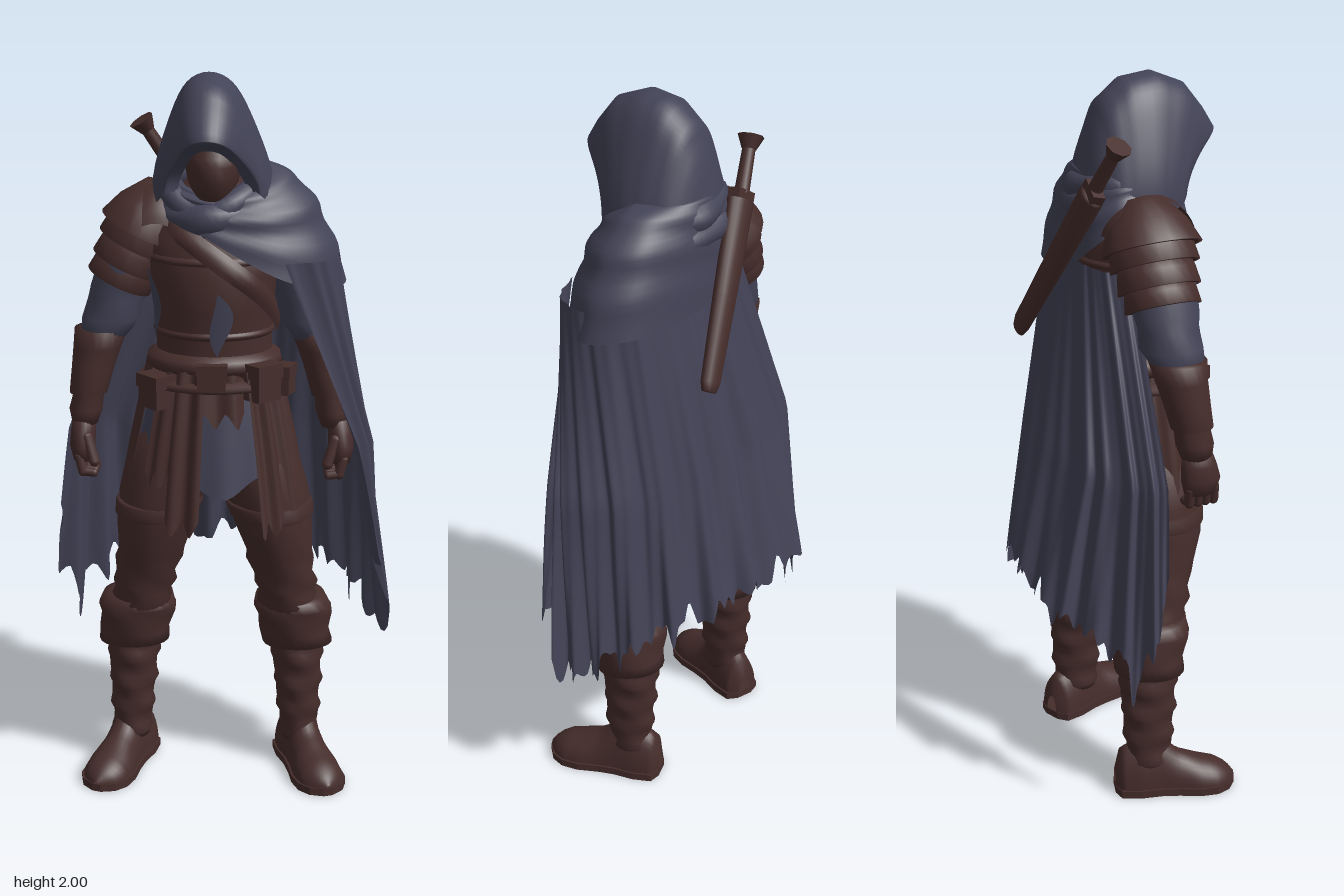
import * as THREE from 'three';
import { mergeVertices } from 'three/addons/utils/BufferGeometryUtils.js';

const cloth = new THREE.MeshStandardMaterial({ color: 0x434357, side: THREE.DoubleSide });
cloth.name = 'blueGreyCloth';
const leather = new THREE.MeshStandardMaterial({ color: 0x452d2b, side: THREE.DoubleSide });
leather.name = 'brownLeather';
const { sin, cos, PI, max, abs } = Math;
const lerp = THREE.MathUtils.lerp;
const V = (x, y, z) => new THREE.Vector3(x, y, z);

// linear lookup in rows sorted by their first value
function lookup(rows, k) {
  let i = 0;
  while (i < rows.length - 2 && k > rows[i + 1][0]) i++;
  const a = rows[i], b = rows[i + 1], t = (k - a[0]) / (b[0] - a[0]);
  return a.map((v, j) => lerp(v, b[j], t));
}
// smooth grid surface from fn(u, v) -> [x, y, z]
function surf(nu, nv, fn) {
  const pos = [], idx = [];
  for (let j = 0; j <= nv; j++) for (let i = 0; i <= nu; i++) pos.push(...fn(i / nu, j / nv));
  for (let j = 0; j < nv; j++) for (let i = 0; i < nu; i++) {
    const a = j * (nu + 1) + i, b = a + nu + 1;
    idx.push(a, a + 1, b, a + 1, b + 1, b);
  }
  let g = new THREE.BufferGeometry();
  g.setAttribute('position', new THREE.Float32BufferAttribute(pos, 3));
  g.setIndex(idx);
  g = mergeVertices(g, 1e-5);
  g.computeVertexNormals();
  return g;
}
// capped stack of ellipses: [y, centreX, centreZ, radiusX, radiusZ]
function loft(rings, seg = 24, wobble = 0) {
  const a = rings[0], b = rings[rings.length - 1];
  const rows = [[a[0], a[1], a[2], 0, 0], ...rings, [b[0], b[1], b[2], 0, 0]];
  return surf(seg, rows.length - 1, (u, v) => {
    const [y, cx, cz, rx, rz] = rows[Math.round(v * (rows.length - 1))];
    const t = (u % 1) * 2 * PI, w = 1 + wobble * sin(t * 3 + y * 60);
    return [cx + rx * sin(t) * w, y, cz + rz * cos(t) * w];
  });
}
function capsule(a, b, r) {
  const d = b.clone().sub(a), g = new THREE.CapsuleGeometry(r, d.length(), 4, 10);
  g.applyQuaternion(new THREE.Quaternion().setFromUnitVectors(V(0, 1, 0), d.normalize()));
  return g.translate((a.x + b.x) / 2, (a.y + b.y) / 2, (a.z + b.z) / 2);
}

const TORSO = [[0.92, 0, 0.06, 0.15, 0.11], [1.1, 0, 0.06, 0.18, 0.14], [1.25, 0, 0.06, 0.155, 0.135],
  [1.38, 0, 0.06, 0.16, 0.15], [1.48, 0, 0.06, 0.175, 0.16], [1.58, 0, 0.05, 0.185, 0.14],
  [1.66, 0, 0.04, 0.13, 0.1], [1.72, 0, 0.04, 0.07, 0.07]];
const SKIRT = [[0.75, 0, 0.06, 0.26, 0.2], [1.0, 0, 0.06, 0.215, 0.17], [1.25, 0, 0.06, 0.16, 0.14]];
const onBody = (rows, a, y, off) => {
  const [, cx, cz, rx, rz] = lookup(rows, y);
  return [cx + (rx + off) * sin(a), y, cz + (rz + off) * cos(a)];
};

export function createModel() {
  const model = new THREE.Group();
  const add = (name, geo, mat, parent = model) => {
    const m = new THREE.Mesh(geo, mat);
    m.name = name;
    parent.add(m);
    return m;
  };

  // hood: arches from the peaked rim to the nape [step, crownY, crownZ, halfWidth, baseY, baseZ]
  const HOOD = [[0, 1.81, 0.21, 0.09, 1.69, 0.13], [1, 1.835, 0.28, 0.112, 1.7, 0.155],
    [2, 1.845, 0.292, 0.125, 1.69, 0.16], [3, 1.9, 0.255, 0.145, 1.67, 0.14], [4, 1.965, 0.2, 0.158, 1.66, 0.1],
    [5, 2, 0.11, 0.165, 1.66, 0.06], [6, 1.99, 0.03, 0.162, 1.66, 0.01], [7, 1.94, -0.035, 0.148, 1.65, -0.04],
    [8, 1.85, -0.072, 0.12, 1.64, -0.075], [9, 1.73, -0.1, 0.06, 1.62, -0.105]];
  add('hood', surf(32, 27, (u, v) => {
    const [, cy, cz, w, by, bz] = lookup(HOOD, v * 9), t = (u - 0.5) * PI, h = max(0, cos(t));
    const x = w * sin(t) * (1 - 0.13 * sin(2 * t) ** 2);
    return [x - 0.01 * h, lerp(by, cy, h), lerp(bz, cz, h ** lerp(2.1, 0.8, v))];
  }), cloth);
  add('face', loft([[1.66, 0, 0.12, 0.025, 0.03], [1.68, 0, 0.125, 0.045, 0.06], [1.72, 0, 0.115, 0.066, 0.08],
    [1.765, 0, 0.11, 0.075, 0.1], [1.785, 0, 0.1, 0.077, 0.09], [1.84, 0, 0.09, 0.075, 0.085],
    [1.9, 0, 0.08, 0.045, 0.05]]), leather);

  // rolled scarf around the neck
  [[0.122, 1.715, 0.034, 0.075], [0.13, 1.655, 0.038, 0.04]].forEach(([r, y, tube, dip], i) =>
    add('scarfRoll', surf(48, 12, (u, v) => {
      const a = (u % 1) * 2 * PI, b = (v % 1) * 2 * PI, w = tube * (1 + 0.15 * sin(a * 5 + i * 2));
      const R = r + w * cos(b);
      return [R * sin(a), y + w * 1.1 * sin(b) - dip * max(0, cos(a)) ** 2 + 0.012 * sin(a * 2 + i), 0.038 + R * cos(a)];
    }), cloth));

  // mantle hanging over the left shoulder
  const hemLine = new THREE.CatmullRomCurve3([V(-0.14, 1.66, 0.12), V(-0.04, 1.6, 0.195), V(0.08, 1.53, 0.215),
    V(0.2, 1.47, 0.2), V(0.31, 1.44, 0.13), V(0.355, 1.445, 0.03), V(0.3, 1.46, -0.065), V(0.16, 1.47, -0.115),
    V(0, 1.5, -0.125), V(-0.11, 1.57, -0.115), V(-0.17, 1.64, -0.05), V(-0.16, 1.67, 0.05)], true);
  add('mantle', surf(72, 20, (u, v) => {
    const p = hemLine.getPoint(u % 1), a = Math.atan2(p.x - 0.01, p.z - 0.04);
    const ty = 1.76 - 0.07 * max(0, cos(a)), s = (v + sin(v * PI / 2)) / 2, k = 1 - cos(v * PI / 2);
    const f = 1 + 0.025 * sin(v * 22 + sin(a) * 3) * sin(v * PI);
    return [lerp(0.01 + 0.12 * sin(a), p.x, s) * f, lerp(ty, p.y, k), lerp(0.03 + 0.12 * cos(a), p.z, s) * f];
  }), cloth);

  // pleated cape with a torn hem, from the front left edge round the back to the right
  const line = pts => new THREE.CatmullRomCurve3(pts.map(([x, z]) => V(x, 0, z)));
  const capeTop = line([[0.19, 0.21], [0.3, 0.16], [0.335, 0.05], [0.27, -0.06], [0.11, -0.1], [-0.05, -0.11], [-0.15, -0.09], [-0.2, -0.04]]);
  const capeMid = line([[0.385, 0.145], [0.43, 0.06], [0.385, -0.06], [0.25, -0.145], [0.05, -0.19], [-0.22, -0.18], [-0.36, -0.11], [-0.42, -0.04]]);
  const capeLow = line([[0.485, 0.12], [0.455, 0.03], [0.395, -0.08], [0.27, -0.195], [0.05, -0.27], [-0.22, -0.265], [-0.38, -0.14], [-0.5, -0.065]]);
  const HEM = [[0, 0.66], [0.045, 0.66], [0.09, 0.47], [0.17, 0.46], [0.28, 0.52], [0.4, 0.6], [0.6, 0.62], [0.76, 0.58],
    [0.84, 0.52], [0.88, 0.42], [0.94, 0.56], [1, 0.74]];
  const zig = x => abs((x % 1) - 0.5) * 2;
  add('cape', surf(220, 26, (u, v) => {
    const hem = lookup(HEM, u)[1] + 0.11 * (zig(u * 15 + 0.2) - 0.5) * (0.6 + 0.4 * sin(u * 31)) + 0.04 * (zig(u * 37) - 0.5);
    const y = lerp(1.52, hem, v), up = y > 1;
    const a = (up ? capeMid : capeLow).getPoint(u), b = (up ? capeTop : capeMid).getPoint(u);
    const p = a.lerp(b, up ? (y - 1) / 0.52 : (y - 0.55) / 0.45);
    const amp = 0.002 + 0.014 * v, w = amp * (sin(u * 80 + 2 * sin(u * 9) + sin(v * 3)) + 0.4 * sin(u * 147 + 1 + v * 2));
    const r = Math.hypot(p.x, p.z) || 1;
    return [p.x + w * p.x / r, y, p.z + w * p.z / r];
  }), cloth);

  // torso, chest strap, cloth showing through the jerkin
  add('jerkin', loft(TORSO, 32), leather);
  const patch = (name, off, aFn, y0, y1) => add(name, surf(12, 10, (u, v) => {
    const y = lerp(y0, y1, v), [l, r] = aFn(v);
    return onBody(TORSO, lerp(l, r, u), y, off);
  }), cloth);
  patch('shirtGap', 0.006, v => [0.08 - 0.2 * sin(v * PI) * (1 - v), 0.1 + 0.3 * sin(v * PI) * v + 0.08 * sin(v * PI)], 1.27, 1.44);
  patch('shirtSide', 0.006, v => [-1.3, -1.3 + 0.35 * sin(v * PI)], 1.3, 1.5);
  add('chestStrap', surf(30, 4, (u, v) =>
    onBody(TORSO, lerp(-0.85, 1.5, u), lerp(1.65, 1.34, u) + (v - 0.5) * 0.065, 0.012 + 0.008 * sin(v * PI))), leather);
  for (const y of [1.32, 1.52]) add('jerkinSeam', surf(40, 4, (u, v) =>
    onBody(TORSO, (u % 1) * 2 * PI, y + (v - 0.5) * 0.02, 0.006 * sin(v * PI))), leather);

  // belts, buckle and pouches
  [[1.24, 0.055, 0.02], [1.185, 0.035, 0.03]].forEach(([y, h, off]) => add('belt', surf(48, 4, (u, v) =>
    onBody(SKIRT, (u % 1) * 2 * PI, y + (v - 0.5) * h, v === 0 || v === 1 ? 0 : off)), leather));
  for (const [name, a, y, w, h, d] of [['buckle', 0, 1.22, 0.075, 0.07, 0.03], ['pouch', 0.75, 1.2, 0.08, 0.1, 0.06],
    ['pouch', -0.85, 1.17, 0.08, 0.09, 0.055], ['smallPouch', 1.25, 1.19, 0.06, 0.08, 0.05]]) {
    const g = new THREE.Group();
    g.name = name;
    g.position.set(...onBody(SKIRT, a, y, 0.025));
    g.rotation.y = a;
    add(name + 'Body', new THREE.BoxGeometry(w, h, d), leather, g);
    add(name + 'Flap', new THREE.BoxGeometry(w * 1.1, h * 0.4, d * 1.15), leather, g).position.y = h * 0.3;
    model.add(g);
  }

  // skirt: cloth underneath, ragged leather panels over it
  add('tunicSkirt', surf(72, 8, (u, v) => onBody(SKIRT, (u % 1) * 2 * PI,
    lerp(1.22, 0.95 - 0.07 * max(0, cos(u * 2 * PI - 0.12)) ** 12, v), -0.012 + 0.005 * v * sin(u * 22 * PI))), cloth);
  [[-0.52, -0.1, 0.78, 0.02], [0.5, 0.85, 0.77, 0.02], [0.8, 1.2, 0.79, 0.012], [-0.92, -0.5, 0.9, 0.008],
    [-1.75, -1.12, 0.84, 0.012], [1.2, 1.8, 0.86, 0.008], [1.75, 3.1, 0.93, -0.03], [3.1, 4.6, 0.93, -0.03],
    [-0.15, 0.52, 1.07, 0.004]
  ].forEach(([l, r, low, off], i) => add('skirtPanel', surf(14, 10, (u, v) => {
    const y = lerp(1.23, low + 0.05 * zig(u * 2 + i * 0.37), v);
    return onBody(SKIRT, lerp(l, r, 0.5 + (u - 0.5) * (1 - 0.12 * v)), y, off + 0.008 * sin(u * 9 + i));
  }), leather));

  for (const s of [-1, 1]) {
    const side = s > 0 ? 'left' : 'right';
    const limb = (name, rows, mat, wob = 0, dx = 0) =>
      add(side + name, loft(rows.map(([y, x, z, rx, rz]) => [y, (x - dx) * s, z, rx, rz]), 24, wob), mat);

    // trousers, bunched above the knee
    limb('Trousers', [[0.46, 0.22, 0.02, 0.08, 0.08], [0.52, 0.21, 0.03, 0.09, 0.092], [0.55, 0.205, 0.035, 0.078, 0.085],
      [0.58, 0.2, 0.04, 0.09, 0.095], [0.61, 0.195, 0.045, 0.082, 0.09], [0.65, 0.185, 0.05, 0.096, 0.1],
      [0.68, 0.18, 0.055, 0.092, 0.1], [0.76, 0.165, 0.065, 0.108, 0.12], [0.86, 0.145, 0.065, 0.118, 0.125],
      [0.95, 0.115, 0.06, 0.125, 0.13], [1.05, 0.09, 0.06, 0.09, 0.12]], leather, 0.03);
    limb('ThighStrap', [[0.79, 0.16, 0.067, 0.11, 0.12], [0.795, 0.16, 0.067, 0.117, 0.127],
      [0.83, 0.152, 0.067, 0.122, 0.129], [0.835, 0.152, 0.067, 0.115, 0.12]], leather);
    // boot: folded cuff, wrapped shaft
    limb('BootCuff', [[0.38, 0.235, 0.005, 0.07, 0.07], [0.385, 0.235, 0.003, 0.1, 0.097], [0.42, 0.23, 0.005, 0.1, 0.098],
      [0.47, 0.225, 0.01, 0.106, 0.102], [0.5, 0.222, 0.015, 0.11, 0.106], [0.53, 0.218, 0.02, 0.098, 0.098],
      [0.535, 0.218, 0.02, 0.07, 0.07]], leather, 0.04);
    const shaft = [];
    for (let i = 0; i <= 16; i++) {
      const t = i / 16, wrap = i % 4 === 1 ? 0.007 : 0;
      shaft.push([lerp(0.08, 0.4, t), lerp(0.245, 0.235, t), 0, 0.051 + 0.024 * t + wrap, 0.062 + 0.022 * t + wrap]);
    }
    limb('BootShaft', shaft, leather, 0.03);
    // foot: domed cross-sections from heel to toe on a flat sole
    const FOOT = [[-0.1, 0.02, 0.07], [-0.085, 0.052, 0.13], [-0.03, 0.06, 0.16], [0.03, 0.056, 0.16], [0.08, 0.06, 0.115],
      [0.14, 0.07, 0.09], [0.19, 0.066, 0.075], [0.225, 0.045, 0.055], [0.245, 0.008, 0.03]];
    const foot = new THREE.Group();
    foot.name = side + 'Foot';
    foot.position.set(0.25 * s, 0, 0);
    foot.rotation.y = 0.33 * s;
    add('footUpper', surf(16, 24, (u, v) => {
      const [z, w, h] = lookup(FOOT, lerp(-0.1, 0.245, v)), t = (u - 0.5) * PI;
      return [w * sin(t), 0.015 + (h - 0.015) * cos(t), z];
    }), leather, foot);
    const outline = FOOT.map(([z, w]) => [w + 0.005, -z]);
    const shape = new THREE.Shape([...outline, ...outline.slice().reverse().map(([x, y]) => [-x, y])].map(p => new THREE.Vector2(...p)));
    add('sole', new THREE.ExtrudeGeometry(shape, { depth: 0.022, bevelEnabled: false }).rotateX(-PI / 2), leather, foot);
    model.add(foot);

    // arm: cloth sleeve, leather bracer, gloved hand; the left arm hangs closer under the cape
    const dx = s > 0 ? 0.028 : 0;
    limb('Sleeve', [[1.27, 0.305, 0.04, 0.05, 0.06], [1.31, 0.295, 0.04, 0.07, 0.075], [1.34, 0.282, 0.035, 0.078, 0.085],
      [1.39, 0.27, 0.03, 0.075, 0.082], [1.43, 0.258, 0.03, 0.078, 0.088], [1.5, 0.235, 0.03, 0.078, 0.09],
      [1.58, 0.205, 0.03, 0.078, 0.09], [1.64, 0.17, 0.03, 0.05, 0.06]], cloth, 0.03, dx);
    limb('Bracer', [[1.05, 0.355, 0.075, 0.035, 0.042], [1.09, 0.352, 0.07, 0.046, 0.052], [1.13, 0.345, 0.065, 0.042, 0.05],
      [1.135, 0.345, 0.065, 0.052, 0.058], [1.2, 0.333, 0.055, 0.058, 0.063], [1.26, 0.32, 0.045, 0.066, 0.07],
      [1.31, 0.308, 0.04, 0.074, 0.078], [1.312, 0.308, 0.04, 0.05, 0.05]], leather, 0, dx);
    limb('Palm', [[0.95, 0.36, 0.085, 0.028, 0.045], [0.99, 0.362, 0.085, 0.035, 0.056], [1.03, 0.36, 0.08, 0.034, 0.05],
      [1.07, 0.355, 0.075, 0.032, 0.04]], leather, 0, dx / 2);
    const finger = (name, a, b, r) => add(side + name, capsule(
      V((a[0] - dx / 2) * s, a[1], a[2]), V((b[0] - dx / 2) * s, b[1], b[2]), r), leather);
    for (let i = 0; i < 4; i++) {
      const z = 0.05 + i * 0.024;
      finger('Finger', [0.368, 0.965, z], [0.358, 0.923, z + 0.004], 0.014);
      finger('FingerTip', [0.358, 0.923, z + 0.004], [0.328, 0.92, z + 0.006], 0.012);
    }
    finger('Thumb', [0.345, 1.02, 0.12], [0.325, 0.955, 0.135], 0.015);
  }

  // layered pauldron on the right shoulder
  const pauldron = new THREE.Group();
  pauldron.name = 'pauldron';
  pauldron.position.set(-0.14, 1.685, 0.022);
  pauldron.rotation.z = -0.45;
  [[0.01, -0.12, 0.05, 0.122], [-0.07, -0.165, 0.09, 0.108], [-0.14, -0.225, 0.085, 0.1], [-0.2, -0.275, 0.08, 0.092]]
    .forEach(([y0, y1, r0, r1]) => add('pauldronPlate', loft([[y1, 0, 0, r1 - 0.012, r1 * 1.12 - 0.012], [y1, 0, 0, r1, r1 * 1.12],
      [lerp(y1, y0, 0.5), 0, 0, lerp(r1, r0, 0.35), lerp(r1, r0, 0.35) * 1.12], [y0, 0, 0, r0, r0 * 1.12]]), leather, pauldron));
  model.add(pauldron);
  add('shoulderStrap', surf(20, 6, (u, v) => {
    const t = lerp(-1.3, 1.3, u);
    return [-0.15 + (v - 0.5) * 0.07, 1.57 + 0.135 * cos(t) + 0.008 * sin(v * PI), 0.03 + 0.13 * sin(t)];
  }), leather);

  // sheathed sword slung across the back; local +y runs towards the pommel
  const sword = new THREE.Group();
  sword.name = 'sword';
  const tip = V(0.15, 1.3, -0.205), dir = V(-0.2, 1.85, -0.08).sub(tip), len = dir.length();
  const zAxis = V(0, 0.2, -1).projectOnPlane(dir.normalize()).normalize();
  sword.quaternion.setFromRotationMatrix(new THREE.Matrix4().makeBasis(dir.clone().cross(zAxis), dir, zAxis));
  sword.position.copy(tip);
  add('scabbard', loft([[-0.005, 0, 0, 0.028, 0.014], [0.02, 0, 0, 0.035, 0.02], [0.25, 0, 0, 0.041, 0.025],
    [0.5, 0, 0, 0.046, 0.03], [0.505, 0, 0, 0.03, 0.02]], 16), leather, sword);
  add('crossguard', new THREE.BoxGeometry(0.07, 0.025, 0.035), leather, sword).position.y = 0.515;
  add('grip', new THREE.CylinderGeometry(0.017, 0.02, len - 0.52, 10), leather, sword).position.y = (len + 0.52) / 2;
  add('pommel', new THREE.CylinderGeometry(0.036, 0.02, 0.035, 8), leather, sword).position.y = len - 0.01;
  model.add(sword);

  return model;
}
